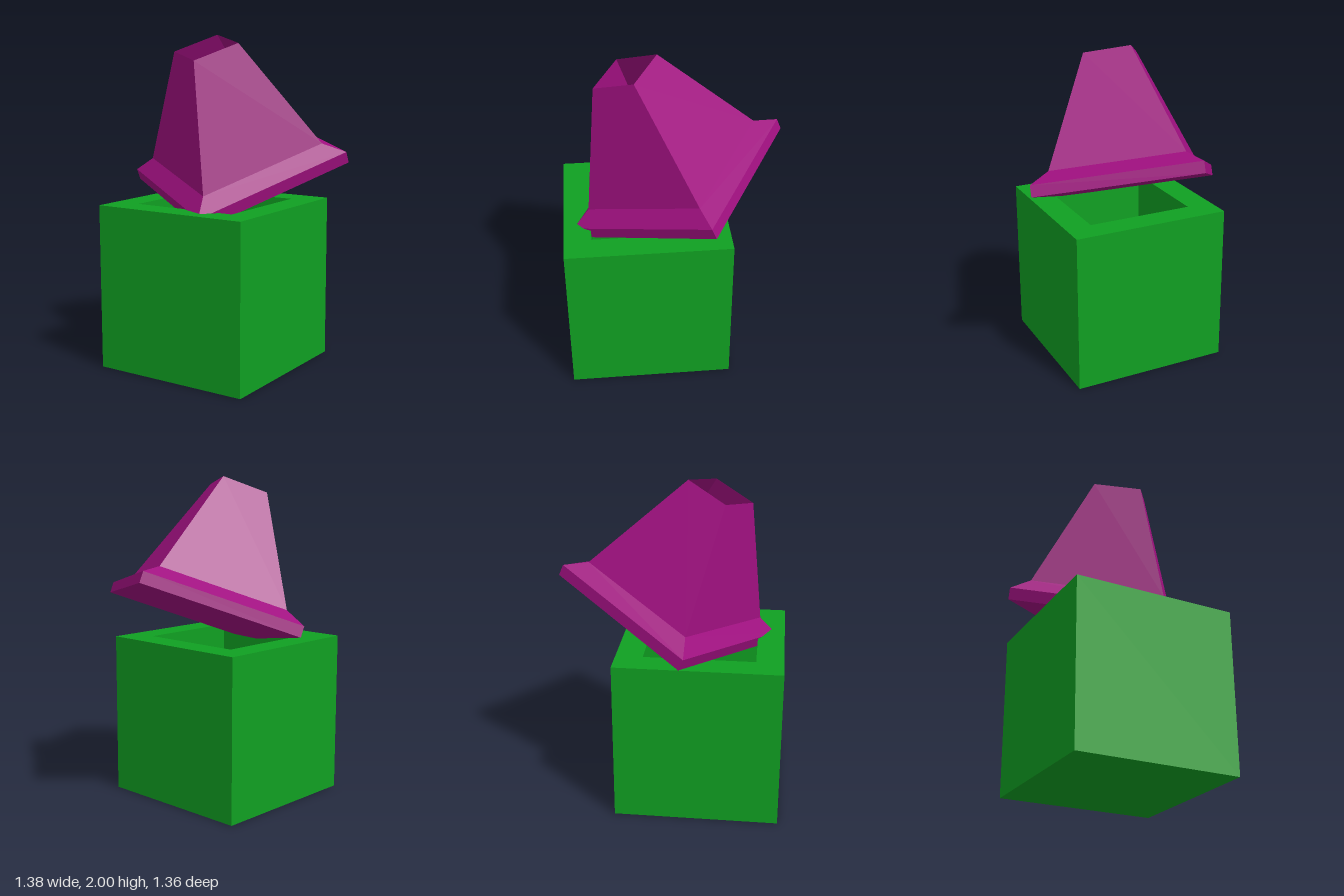
import * as THREE from 'three';

// Square-section solid from a profile of [side length, height] pairs, corners on the x and z axes
function squareLoft(name, profile, color) {
  const points = profile.map(([side, y]) => new THREE.Vector2(side * Math.SQRT1_2, y));
  const geometry = new THREE.LatheGeometry(points, 4);
  const material = new THREE.MeshStandardMaterial({ color, flatShading: true, side: THREE.DoubleSide });
  const mesh = new THREE.Mesh(geometry, material);
  mesh.name = name;
  return mesh;
}

export function createModel() {
  const model = new THREE.Group();
  model.name = 'openBoxWithLid';

  // Open box: outer walls, rim, inner walls and floor
  const box = squareLoft('box', [[0, 0], [1, 0], [1, 1], [0.67, 1], [0.67, 0.167], [0, 0.167]], 0x10a022);
  box.rotation.y = Math.PI / 4;
  box.position.set(-0.025, 0, 0.18);
  model.add(box);

  // Hollow tapered lid: base, rim, bevel and open funnel
  const lid = squareLoft('lid', [[0, 0], [1, 0], [1, 0.07], [0.805, 0.14], [0.293, 0.827]], 0xa01080);

  // Tilted pose: x runs along the base diagonal, y along the lid's axis
  const xAxis = new THREE.Vector3(0.976, 0.12, -0.191).normalize();
  const zAxis = new THREE.Vector3().crossVectors(xAxis, new THREE.Vector3(-0.042, 0.919, 0.38)).normalize();
  const yAxis = new THREE.Vector3().crossVectors(zAxis, xAxis);
  lid.quaternion.setFromRotationMatrix(new THREE.Matrix4().makeBasis(xAxis, yAxis, zAxis));
  lid.position.set(0, 1.165, -0.045);
  model.add(lid);

  return model;
}
